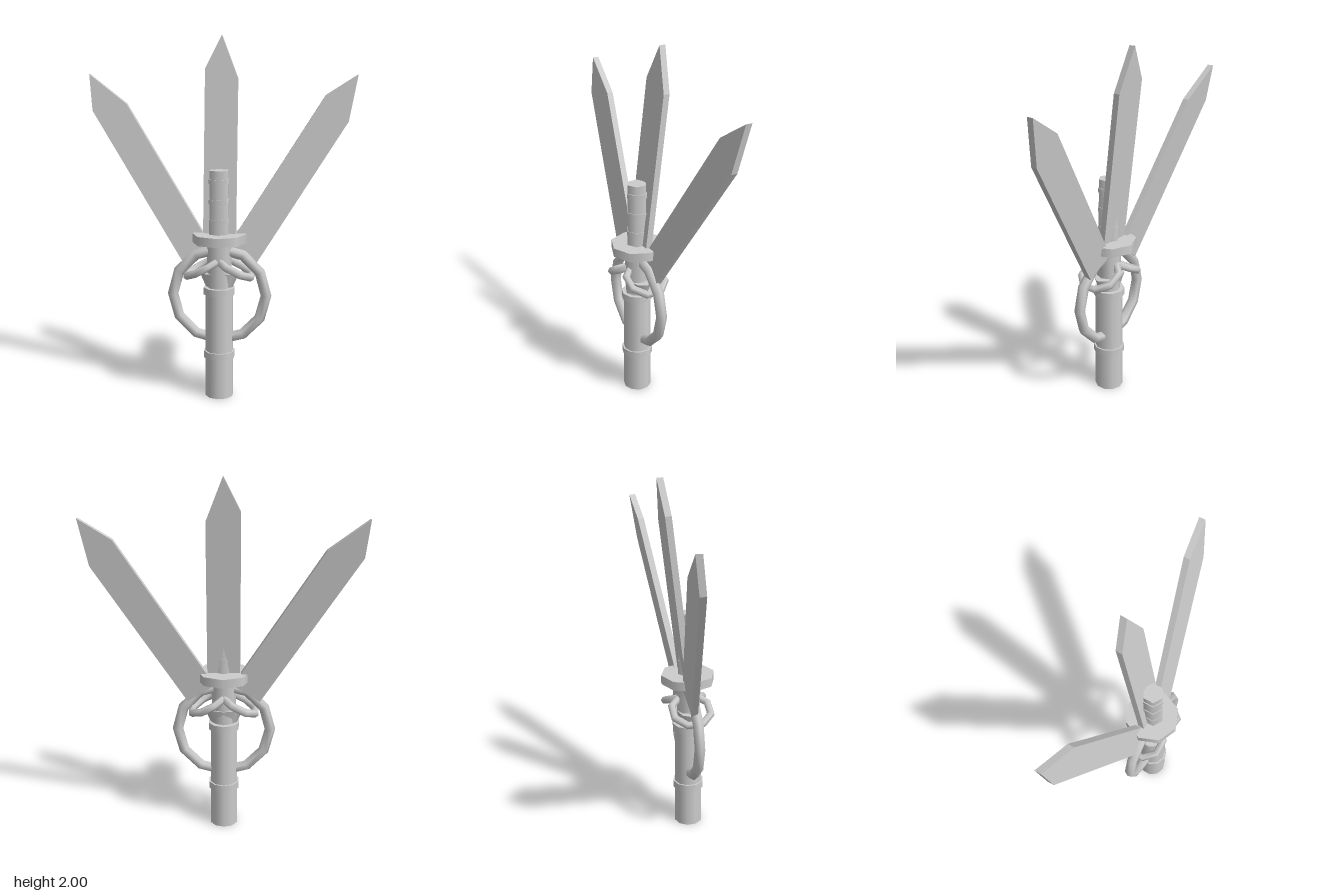
import * as THREE from 'three';

const steel = new THREE.MeshStandardMaterial({ color: 0xcccccc });
steel.name = 'light steel';

function add(group, name, geometry, x = 0, y = 0, z = 0) {
  const mesh = new THREE.Mesh(geometry, steel);
  mesh.name = name;
  mesh.position.set(x, y, z);
  group.add(mesh);
  return mesh;
}

// Upright prism or tapered tube between two heights
function tube(group, name, rBottom, rTop, y0, y1, sides, z) {
  return add(group, name, new THREE.CylinderGeometry(rTop, rBottom, y1 - y0, sides), 0, (y0 + y1) / 2, z);
}

// Flat blade outline, given thickness and leaned backward towards its tip
function blade(group, name, outline, lean) {
  const shape = new THREE.Shape(outline.map(([x, y]) => new THREE.Vector2(x, y)));
  const geometry = new THREE.ExtrudeGeometry(shape, { depth: 0.035, bevelEnabled: false });
  const tipY = Math.max(...outline.map((p) => p[1]));
  const p = geometry.attributes.position;
  for (let i = 0; i < p.count; i++) {
    p.setZ(i, p.getZ(i) - 0.157 + (tipY - p.getY(i)) * lean);
  }
  geometry.computeVertexNormals();
  add(group, name, geometry);
}

export function createModel() {
  const model = new THREE.Group();
  model.name = 'bladedStaff';

  // Lower shaft with its two collars
  tube(model, 'lowerShaft', 0.08, 0.077, 0, 0.62, 10, 0.008);
  tube(model, 'lowerCollar', 0.088, 0.088, 0.225, 0.265, 10, 0.008);
  tube(model, 'upperCollar', 0.088, 0.088, 0.59, 0.63, 10, 0.008);
  tube(model, 'neck', 0.065, 0.07, 0.62, 0.89, 8, 0.01);

  // Flared socket above the upper collar
  tube(model, 'socket', 0.075, 0.11, 0.63, 0.71, 8, 0.005).scale.z = 0.6;

  // Guard and hexagonal grip with thin bands
  tube(model, 'guard', 0.15, 0.15, 0.88, 0.93, 8, 0.005);
  tube(model, 'grip', 0.06, 0.056, 0.93, 1.28, 6, 0.01);
  for (const y of [1.0, 1.11, 1.22]) {
    tube(model, 'gripBand', 0.062, 0.062, y - 0.012, y + 0.012, 6, 0.01);
  }

  // Three blades fanned out behind the grip
  blade(model, 'centerBlade', [[-0.09, 0.89], [0.09, 0.89], [0.09, 1.77], [0, 2], [-0.09, 1.82]], 0.118);
  blade(model, 'leftBlade', [[0.05, 0.86], [0.2, 0.76], [0.69, 1.54], [0.737, 1.79], [0.565, 1.68]], 0.128);
  blade(model, 'rightBlade', [[-0.2, 0.76], [-0.05, 0.86], [-0.53, 1.63], [-0.74, 1.79], [-0.72, 1.59]], 0.128);

  // Large upright ring around the shaft
  add(model, 'largeRing', new THREE.TorusGeometry(0.26, 0.03, 6, 12), 0, 0.585, 0.005);

  // Two small sloping rings linked through the large one
  for (const side of [-1, 1]) {
    const geometry = new THREE.TorusGeometry(0.11, 0.022, 6, 8);
    geometry.rotateZ(Math.PI / 8);
    geometry.rotateX(Math.PI / 2);
    const ring = add(model, side > 0 ? 'leftSmallRing' : 'rightSmallRing', geometry, side * 0.085, 0.742, 0.003);
    ring.rotation.z = -side * 0.47;
  }
  return model;
}
